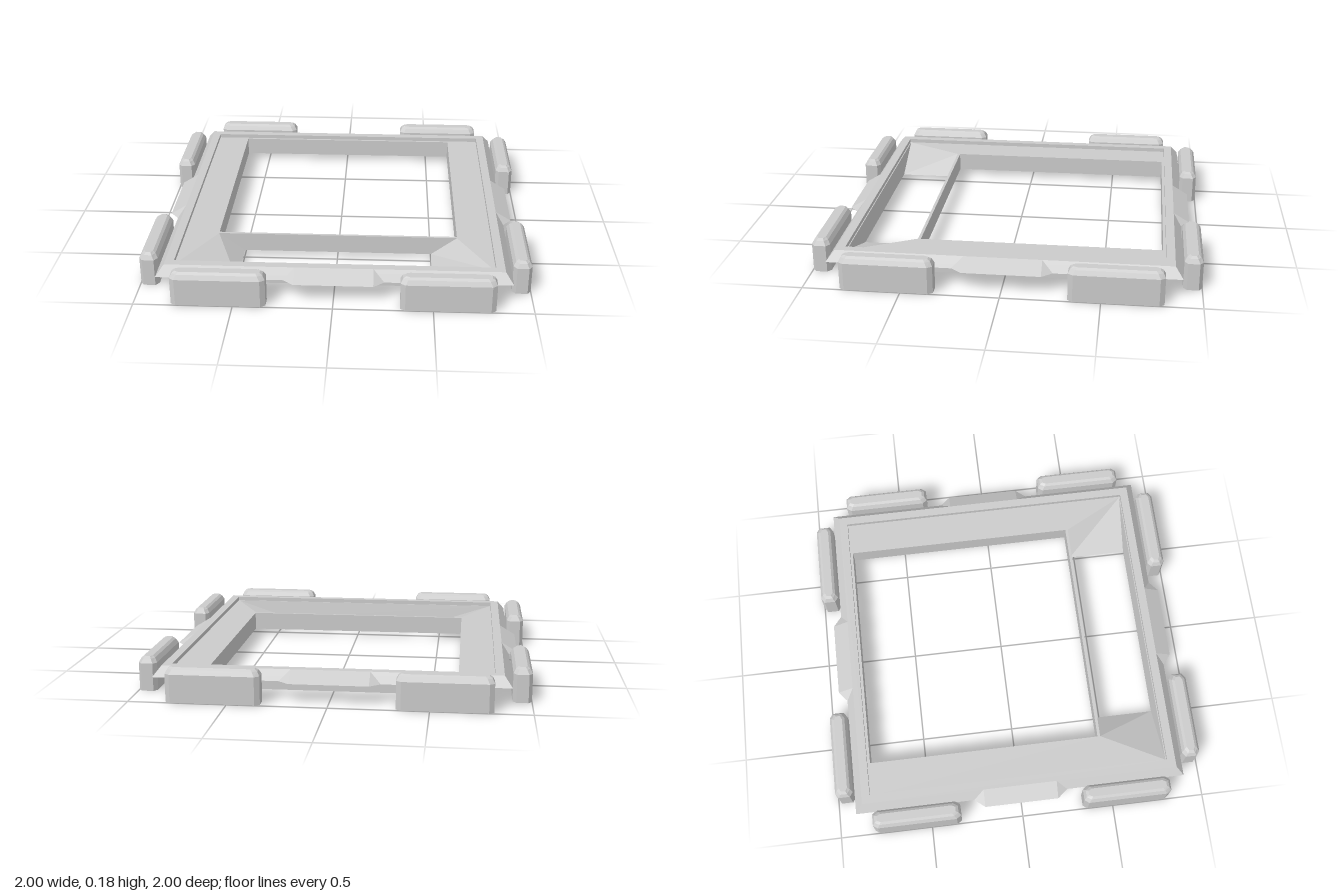
import * as THREE from 'three';

const material = new THREE.MeshStandardMaterial({ color: 0xcccccc, flatShading: true, side: THREE.DoubleSide });

function addMesh(parent, name, geometry) {
  const mesh = new THREE.Mesh(geometry, material);
  mesh.name = name;
  parent.add(mesh);
  return mesh;
}

// Flat faces, each a list of [x, y, z] corners in counter-clockwise order.
function facesGeometry(faces) {
  const pos = [];
  for (const f of faces)
    for (let i = 1; i < f.length - 1; i++) pos.push(...f[0], ...f[i], ...f[i + 1]);
  const g = new THREE.BufferGeometry();
  g.setAttribute('position', new THREE.Float32BufferAttribute(pos, 3));
  g.computeVertexNormals();
  return g;
}

// Faces joining successive rings of corners.
function loft(rings) {
  const faces = [];
  for (let r = 0; r < rings.length - 1; r++) {
    const a = rings[r], b = rings[r + 1], n = a.length;
    for (let i = 0; i < n; i++) {
      const j = (i + 1) % n;
      faces.push([a[i], a[j], b[j], b[i]]);
    }
  }
  return faces;
}

// Horizontal plate with holes; outlines are [x, z] points.
function plate(outline, holes, y, up) {
  const pts = (list) => list.map(([x, z]) => new THREE.Vector2(x, up ? -z : z));
  const shape = new THREE.Shape(pts(outline));
  for (const h of holes) shape.holes.push(new THREE.Path(pts(h)));
  return new THREE.ShapeGeometry(shape).rotateX(up ? -Math.PI / 2 : Math.PI / 2).translate(0, y, 0);
}

const rect = (x, z0, z1) => [[-x, z1], [x, z1], [x, z0], [-x, z0]];

const FLOOR = 0.13, BASE = 0.03, LIP = 0.1, RIM = 0.152;

// Hollow foot: octagonal plan, tapering to a narrow top, open below.
function footGeometry() {
  const ring = (l, t, cl, ct, y) =>
    [[l - cl, t], [l, t - ct], [l, ct - t], [l - cl, -t], [cl - l, -t], [-l, ct - t], [-l, t - ct], [cl - l, t]]
      .map(([x, z]) => [x, y, z]);
  const rings = [
    ring(0.238, 0.048, 0.025, 0.018, 0),
    ring(0.238, 0.048, 0.025, 0.018, 0.145),
    ring(0.226, 0.035, 0.025, 0.016, 0.168),
    ring(0.212, 0.022, 0.02, 0.01, 0.178),
  ];
  return facesGeometry([...loft(rings), rings[3]]);
}

// Sloped tab in the middle of an edge.
function tabGeometry() {
  const top = [[-0.2, RIM, 0.86], [0.2, RIM, 0.86]];
  const tip = [[-0.2, LIP, 0.945], [0.2, LIP, 0.945]];
  const root = [[-0.255, LIP, 0.9], [0.255, LIP, 0.9]];
  return facesGeometry([
    [tip[0], tip[1], top[1], top[0]],
    [tip[1], root[1], top[1]],
    [root[0], tip[0], top[0]],
    [root[0], root[1], tip[1], tip[0]],
  ]);
}

export function createModel() {
  const model = new THREE.Group();
  model.name = 'squareTray';

  // Rim: square sweep of the edge profile
  const profile = [[0.812, BASE], [0.812, LIP], [0.9, LIP], [0.86, RIM], [0.815, RIM], [0.815, FLOOR]];
  addMesh(model, 'rim', facesGeometry(loft(profile.map(([r, y]) =>
    [[-r, y, r], [r, y, r], [r, y, -r], [-r, y, -r]]))));

  // Floor and underside with their openings
  const opening = [[-0.635, -0.8], [0.635, -0.8], [0.635, 0.475], [0.81, 0.81], [-0.81, 0.81], [-0.635, 0.475]];
  addMesh(model, 'floor', plate(rect(0.815, -0.815, 0.815), [opening], FLOOR, true));
  addMesh(model, 'underside', plate(rect(0.812, -0.812, 0.812),
    [rect(0.635, -0.8, 0.46), rect(0.5, 0.475, 0.795)], BASE, false));

  // Walls of the large opening
  const walls = [[[-0.635, BASE, -0.8], [0.635, BASE, -0.8], [0.635, FLOOR, -0.8], [-0.635, FLOOR, -0.8]]];
  // Slopes leading down to the slot
  const slopes = [[[0.5, BASE, 0.795], [-0.5, BASE, 0.795], [-0.81, FLOOR, 0.81], [0.81, FLOOR, 0.81]]];
  for (const s of [1, -1]) {
    const wall = [[s * 0.635, BASE, -0.8], [s * 0.635, BASE, 0.475], [s * 0.635, FLOOR, 0.475], [s * 0.635, FLOOR, -0.8]];
    const slope = [[s * 0.5, BASE, 0.475], [s * 0.5, BASE, 0.795], [s * 0.81, FLOOR, 0.81], [s * 0.635, FLOOR, 0.475]];
    walls.push(s > 0 ? wall : wall.reverse());
    slopes.push(s > 0 ? slope : slope.reverse());
  }
  addMesh(model, 'openingWalls', facesGeometry(walls));
  addMesh(model, 'slotSlopes', facesGeometry(slopes));

  // Thin bar between the opening and the slot
  addMesh(model, 'crossBar', new THREE.BoxGeometry(1.27, FLOOR - BASE, 0.015))
    .position.set(0, (FLOOR + BASE) / 2, 0.4675);

  // One tab and two feet on every side
  const foot = footGeometry(), tab = tabGeometry();
  for (let i = 0; i < 4; i++) {
    const side = new THREE.Group();
    side.name = ['front', 'left', 'back', 'right'][i] + 'Edge';
    side.rotation.y = i * Math.PI / 2;
    addMesh(side, 'tab', tab);
    for (const s of [-1, 1]) addMesh(side, 'foot', foot).position.set(s * 0.573, 0, 0.952);
    model.add(side);
  }
  return model;
}
